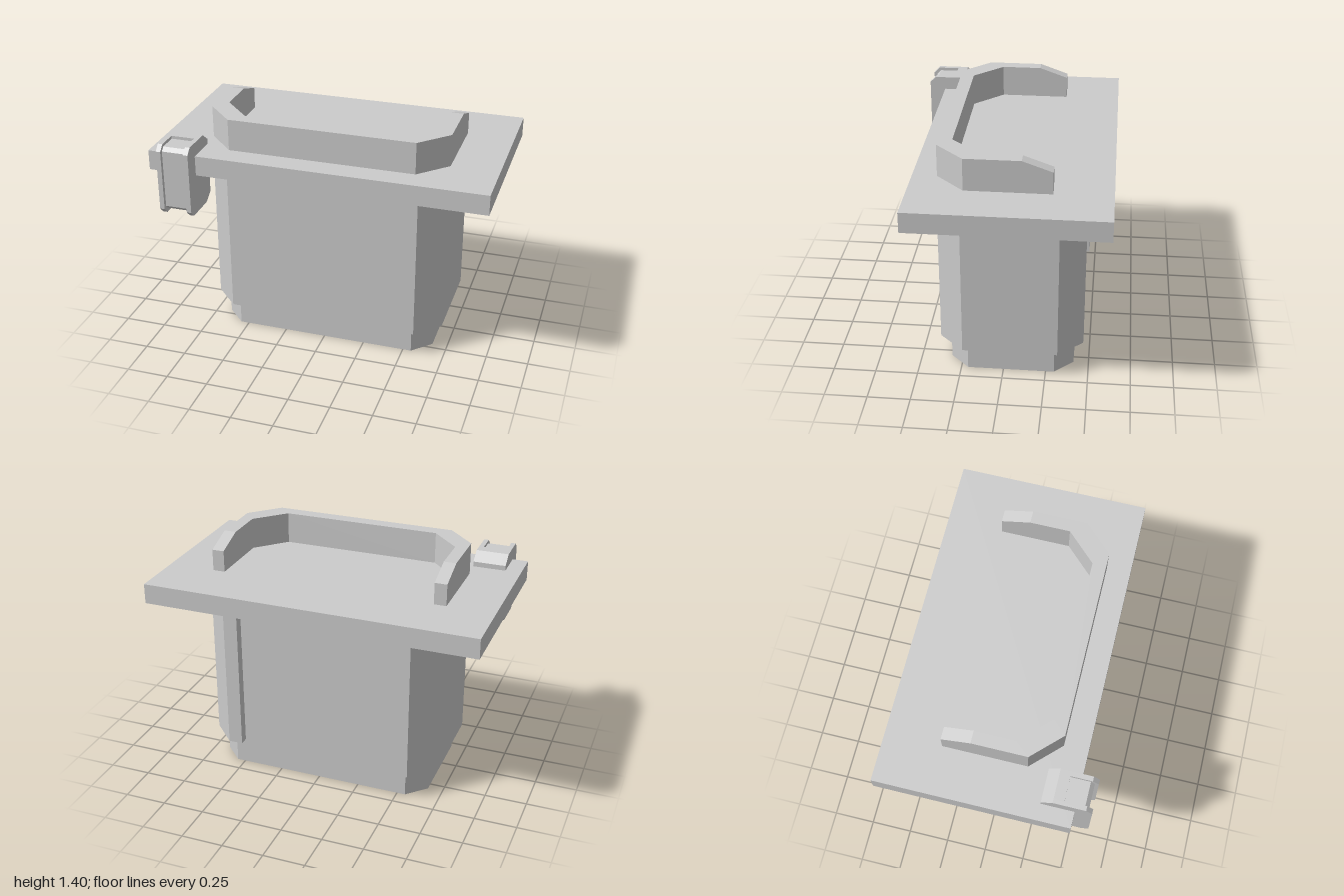
import * as THREE from 'three';

const grey = new THREE.MeshStandardMaterial({ color: 0xcccccc, flatShading: true });
const greyThin = new THREE.MeshStandardMaterial({ color: 0xcccccc, flatShading: true, side: THREE.DoubleSide });

function add(parent, name, geometry, material = grey) {
  const mesh = new THREE.Mesh(geometry, material);
  mesh.name = name;
  parent.add(mesh);
  return mesh;
}

// Box given by its limits
function box(x0, x1, y0, y1, z0, z1) {
  return new THREE.BoxGeometry(x1 - x0, y1 - y0, z1 - z0)
    .translate((x0 + x1) / 2, (y0 + y1) / 2, (z0 + z1) / 2);
}

// Outline of [x, z] points, mirrored from the +x half (listed back to front)
const mirrored = half => [...half, ...half.map(([x, z]) => [-x, z]).reverse()];

const planShape = pts => new THREE.Shape(pts.map(([x, z]) => new THREE.Vector2(x, -z)));

// Plan outline raised from y0 to y1
function planSolid(pts, y0, y1) {
  return new THREE.ExtrudeGeometry(planShape(pts), { depth: y1 - y0, bevelEnabled: false })
    .rotateX(-Math.PI / 2).translate(0, y0, 0);
}

// Side profile of [z, y] points stretched from x0 to x1
function sideSolid(pts, x0, x1) {
  const shape = new THREE.Shape(pts.map(([z, y]) => new THREE.Vector2(z, y)));
  return new THREE.ExtrudeGeometry(shape, { depth: x1 - x0, bevelEnabled: false })
    .rotateY(-Math.PI / 2).translate(x1, 0, 0);
}

// Thin upright wall around a closed plan outline
function wall(pts, y0, y1) {
  const pos = [];
  pts.forEach(([ax, az], i) => {
    const [bx, bz] = pts[(i + 1) % pts.length];
    pos.push(ax, y0, az, ax, y1, az, bx, y1, bz, ax, y0, az, bx, y1, bz, bx, y0, bz);
  });
  const g = new THREE.BufferGeometry();
  g.setAttribute('position', new THREE.Float32BufferAttribute(pos, 3));
  g.computeVertexNormals();
  return g;
}

export function createModel() {
  const model = new THREE.Group();
  model.name = 'counter';

  // Plinth and body, hollow and open underneath
  const plinthHalf = [[0.55, -0.41], [0.66, -0.3], [0.66, 0.21], [0.55, 0.32]];
  const bodyHalf = [[0.49, -0.465], [0.575, -0.465], [0.717, -0.32], [0.717, 0.235], [0.575, 0.38]];
  add(model, 'plinth', wall(mirrored(plinthHalf), 0, 0.16), greyThin);
  add(model, 'body', wall(mirrored([[0.49, -0.41], ...bodyHalf]), 0.16, 1.09), greyThin);

  // Underside of the body's overhang, open where the back panel is recessed
  const overhang = [
    ...mirrored(bodyHalf), [-0.49, -0.41],
    ...mirrored(plinthHalf).reverse(), [0.49, -0.41],
  ];
  add(model, 'overhang',
    new THREE.ShapeGeometry(planShape(overhang)).rotateX(-Math.PI / 2).translate(0, 0.16, 0), greyThin);

  // Lip above the recessed back panel
  add(model, 'backLip', box(-0.49, 0.49, 1.015, 1.09, -0.465, -0.41));

  // Worktop
  add(model, 'worktop', box(-1, 1, 1.09, 1.21, -0.61, 0.515));

  // Raised guard around the front, with arms sloping down at the back
  const guard = new THREE.Group();
  guard.name = 'guard';
  model.add(guard);
  const outer = [[0.718, -0.11], [0.718, 0.21], [0.555, 0.375]];
  const inner = [[0.645, -0.11], [0.645, 0.125], [0.478, 0.295]];
  add(guard, 'guardFront', planSolid([...mirrored(outer), ...mirrored(inner).reverse()], 1.21, 1.4));
  const arm = [[-0.28, 1.21], [-0.11, 1.21], [-0.11, 1.4], [-0.28, 1.34]];
  add(guard, 'guardArmLeft', sideSolid(arm, 0.645, 0.718));
  add(guard, 'guardArmRight', sideSolid(arm, -0.718, -0.645));

  // Clamp gripping the front edge: two cheeks with a sunken middle
  const clamp = new THREE.Group();
  clamp.name = 'clamp';
  model.add(clamp);
  const cheek = [
    [0.325, 0.9], [0.39, 0.857], [0.575, 0.857], [0.61, 0.892],
    [0.61, 1.255], [0.575, 1.29], [0.39, 1.29], [0.325, 1.24],
  ];
  const middle = [
    [0.325, 0.9], [0.39, 0.857], [0.45, 0.857], [0.45, 0.88], [0.565, 0.88], [0.588, 0.903],
    [0.588, 1.25], [0.565, 1.272], [0.45, 1.272], [0.45, 1.29], [0.39, 1.29], [0.325, 1.24],
  ];
  add(clamp, 'clampCheekRight', sideSolid(cheek, -0.905, -0.877));
  add(clamp, 'clampMiddle', sideSolid(middle, -0.877, -0.737));
  add(clamp, 'clampCheekLeft', sideSolid(cheek, -0.737, -0.709));

  return model;
}
